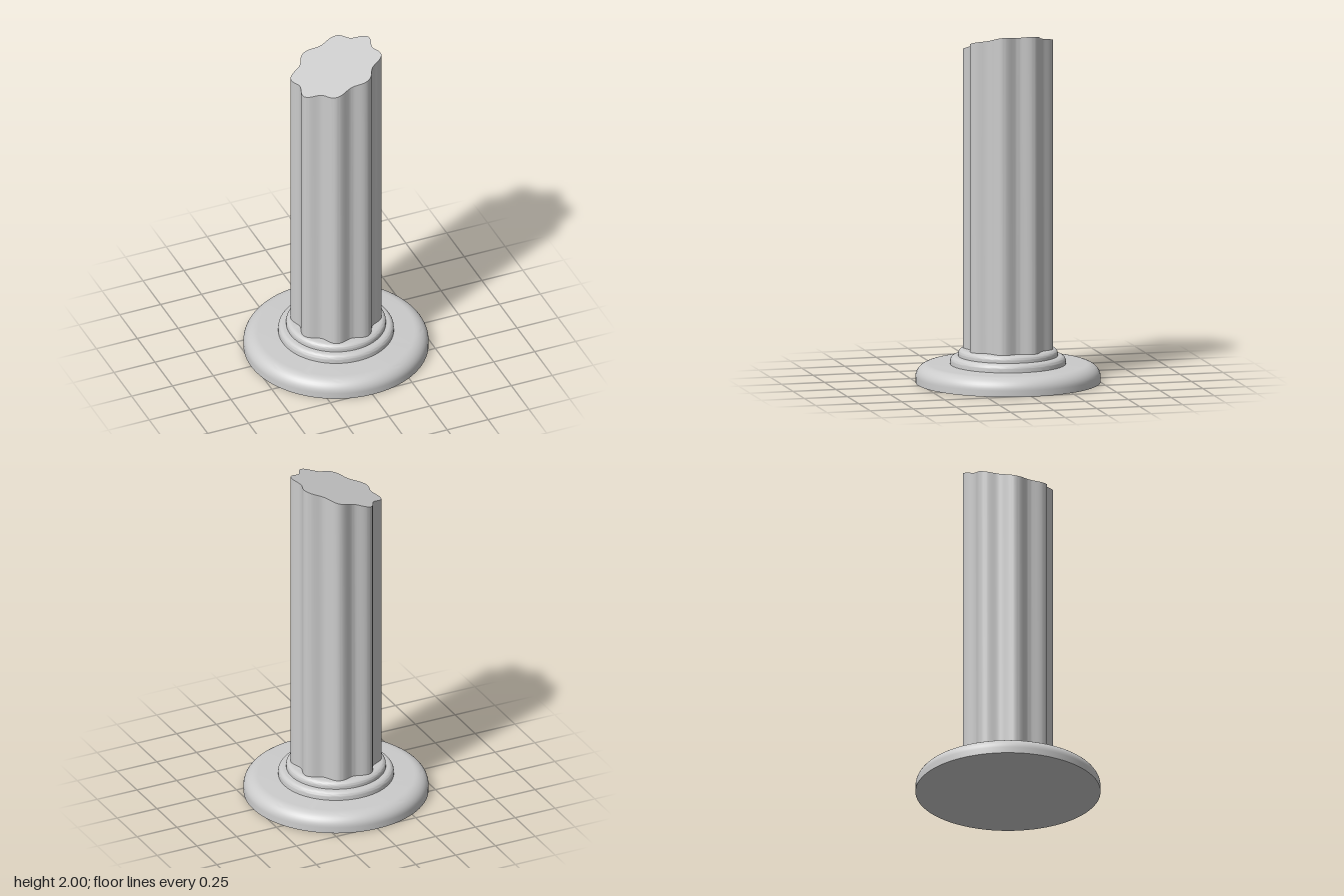
import * as THREE from 'three';
import { toCreasedNormals } from 'three/addons/utils/BufferGeometryUtils.js';

const material = new THREE.MeshStandardMaterial({ color: 0xcccccc });

function addPart(group, name, geometry) {
  const mesh = new THREE.Mesh(toCreasedNormals(geometry, 0.6), material);
  mesh.name = name;
  group.add(mesh);
}

// Round tier: straight lower wall, elliptical shoulder (rx, ry), flat top
function tier(radius, y0, y1, rx, ry) {
  const profile = [new THREE.Vector2(0, y0), new THREE.Vector2(radius, y0)];
  const steps = 10;
  for (let i = 0; i <= steps; i++) {
    const a = (i / steps) * Math.PI / 2;
    profile.push(new THREE.Vector2(radius - rx + rx * Math.cos(a), y1 - ry + ry * Math.sin(a)));
  }
  profile.push(new THREE.Vector2(0, y1));
  return new THREE.LatheGeometry(profile, 96);
}

// Eight-lobed shaft, its top cut on a slant rising towards +x
function flutedShaft(bottom, top, slope) {
  const points = [];
  const count = 192;
  for (let i = 0; i < count; i++) {
    const a = (i / count) * Math.PI * 2;
    const r = 0.238 - 0.017 * Math.cos(8 * a);
    points.push(new THREE.Vector2(r * Math.cos(a), r * Math.sin(a)));
  }
  const geometry = new THREE.ExtrudeGeometry(new THREE.Shape(points), {
    depth: top - bottom, bevelEnabled: false,
  });
  geometry.rotateX(-Math.PI / 2).translate(0, bottom, 0);
  const pos = geometry.attributes.position;
  for (let i = 0; i < pos.count; i++) {
    if (pos.getY(i) > 1) pos.setY(i, top + slope * pos.getX(i));
  }
  return geometry;
}

export function createModel() {
  const group = new THREE.Group();
  group.name = 'brokenColumn';
  addPart(group, 'basePlate', tier(0.52, 0, 0.105, 0.08, 0.07));
  addPart(group, 'lowerRing', tier(0.325, 0.09, 0.152, 0.03, 0.03));
  addPart(group, 'upperRing', tier(0.28, 0.14, 0.192, 0.03, 0.025));
  addPart(group, 'flutedShaft', flutedShaft(0.15, 1.922, 0.331));
  return group;
}
